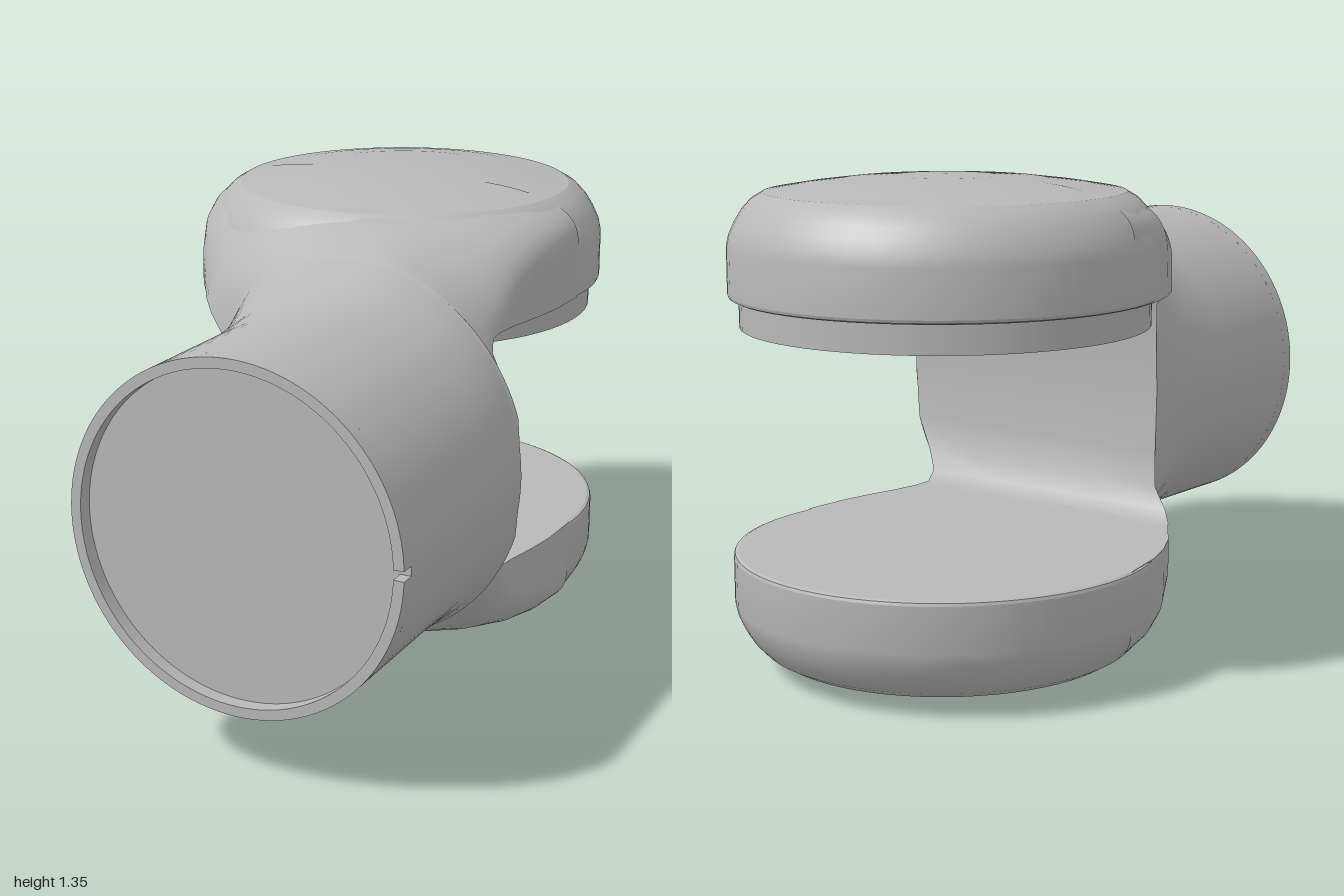
import * as THREE from 'three';
import { mergeGeometries, mergeVertices, toCreasedNormals } from 'three/addons/utils/BufferGeometryUtils.js';

// Sections of the upper half, heights measured from the sleeve axis:
// z, base height, left x, right x, curve start height, top height, left and right squareness, crown x
const SECTIONS = [
  [0.96, 0, -0.317, 0.637, 0, 0.477, 2, 2, 0.16],
  [0.6, 0, -0.315, 0.637, 0, 0.477, 2, 2, 0.16],
  [0.45, 0, -0.305, 0.635, 0, 0.49, 2.1, 2, 0.15],
  [0.35, 0, -0.3, 0.635, 0, 0.512, 2.4, 2, 0.14],
  [0.255, 0, -0.3, 0.625, 0, 0.545, 2.8, 2, 0.12],
  [0.25, 0.17, -0.3, 0.61, 0, 0.548, 2.8, 2, 0.12],
  [0.235, 0.27, -0.31, 0.555, 0, 0.555, 2.7, 2, 0.115],
  [0.2, 0.325, -0.37, 0.51, 0.05, 0.572, 2.4, 2, 0.1],
  [0.15, 0.35, -0.415, 0.49, 0.2, 0.595, 2.3, 2, 0.07],
  [0.08, 0.35, -0.46, 0.485, 0.32, 0.625, 2.4, 2.2, 0.03],
  [0, 0.35, -0.515, 0.495, 0.42, 0.637, 2.6, 2.6, 0],
  [-0.1, 0.35, -0.565, 0.515, 0.46, 0.65, 2.9, 2.9, -0.03],
  [-0.2, 0.35, -0.6, 0.53, 0.48, 0.658, 3, 3, -0.05],
  [-0.35, 0.35, -0.63, 0.535, 0.49, 0.668, 3.1, 3.1, -0.05],
];
const GAP_START = 4; // first section that borders the fork gap

// One side of a section: straight wall, then a superellipse up to the crown
function sideCurve([z, base, , , start, top, , , crown], edge, n) {
  const pts = [];
  const rise = top - start;
  const cut = Math.max(0, (base - start) / rise);
  const a = (edge - crown) / Math.pow(1 - Math.pow(cut, n), 1 / n);
  const phi0 = Math.asin(Math.pow(cut, n / 2));
  if (start >= base) pts.push([edge, base, z]);
  else pts.push([edge, base, z]);
  for (let i = 0; i <= 24; i++) {
    const phi = phi0 + (Math.PI / 2 - phi0) * (i / 24);
    const c = Math.max(0, Math.cos(phi));
    pts.push([crown + a * Math.pow(c, 2 / n), start + rise * Math.pow(Math.sin(phi), 2 / n), z]);
  }
  return pts;
}

function outerRow(s) {
  const left = sideCurve(s, s[2], s[6]);
  const right = sideCurve(s, s[3], s[7]);
  return [...left, ...right.reverse().slice(1)];
}

// Skin over rows of points; sign mirrors the height
function skin(rows, sign, flip) {
  const cols = rows[0].length;
  const pos = [], index = [];
  rows.forEach(r => r.forEach(([x, y, z]) => pos.push(x, y * sign, z)));
  const reverse = flip !== (sign < 0);
  for (let i = 0; i < rows.length - 1; i++) {
    for (let j = 0; j < cols - 1; j++) {
      const a = i * cols + j, b = a + 1, c = a + cols, d = c + 1;
      if (reverse) index.push(a, c, b, b, c, d);
      else index.push(a, b, c, b, d, c);
    }
  }
  const g = new THREE.BufferGeometry();
  g.setAttribute('position', new THREE.Float32BufferAttribute(pos, 3));
  g.setIndex(index);
  return g;
}

// Both mirrored halves joined with smooth normals
function bothHalves(rows, flip) {
  const g = mergeVertices(mergeGeometries([skin(rows, 1, flip), skin(rows, -1, flip)]), 1e-5);
  g.computeVertexNormals();
  return g;
}

// Rounded pad, lathed and mirrored for the lower side
function padGeometry(sign) {
  let pts = [
    [0, 0.35], [0.578, 0.35], [0.587, 0.354], [0.59, 0.362], [0.59, 0.49], [0.583, 0.52],
    [0.568, 0.553], [0.548, 0.585], [0.522, 0.613], [0.49, 0.632],
    [0.4, 0.647], [0.28, 0.662], [0.14, 0.672], [0, 0.675],
  ].map(([r, y]) => new THREE.Vector2(r, y * sign));
  if (sign < 0) pts = pts.reverse();
  return toCreasedNormals(new THREE.LatheGeometry(pts, 72), 0.35);
}

export function createModel() {
  const grey = new THREE.MeshStandardMaterial({ color: 0xb8b8b8 });
  grey.name = 'grey';
  const model = new THREE.Group();
  model.name = 'forkJoint';
  const add = (name, geo, x = 0, y = 0, z = 0) => {
    const m = new THREE.Mesh(geo, grey);
    m.name = name;
    m.position.set(x, y + 0.68, z);
    model.add(m);
    return m;
  };

  // Sleeve flowing into the two arms
  add('sleeveAndArms', bothHalves(SECTIONS.map(outerRow), false));

  // Inside of the fork gap
  const gapRows = SECTIONS.slice(GAP_START).map(([z, base, xl, xr]) =>
    [0, 0.25, 0.5, 0.75, 1].map(t => [xl + (xr - xl) * t, base, z]));
  add('forkGap', bothHalves(gapRows, true));

  // Sleeve rim with a small notch on the left
  const notch = 0.028;
  const ring = new THREE.Shape();
  ring.absarc(0, 0, 0.477, notch, Math.PI * 2 - notch, false);
  ring.absarc(0, 0, 0.448, Math.PI * 2 - notch, notch, true);
  const rim = new THREE.ExtrudeGeometry(ring, { depth: 0.04, bevelEnabled: false, curveSegments: 80 });
  add('sleeveRim', toCreasedNormals(rim, 0.5), 0.16, 0, 0.96);
  add('sleeveFace', new THREE.CircleGeometry(0.477, 72), 0.16, 0, 0.96);

  // Pads at the arm ends
  add('upperPad', padGeometry(1), -0.05, 0, -0.41);
  add('lowerPad', padGeometry(-1), -0.05, 0, -0.41);

  // Flange disc under the upper pad
  add('flangeDisc', new THREE.CylinderGeometry(0.56, 0.56, 0.085, 72), -0.05, 0.3125, -0.41);
  return model;
}
